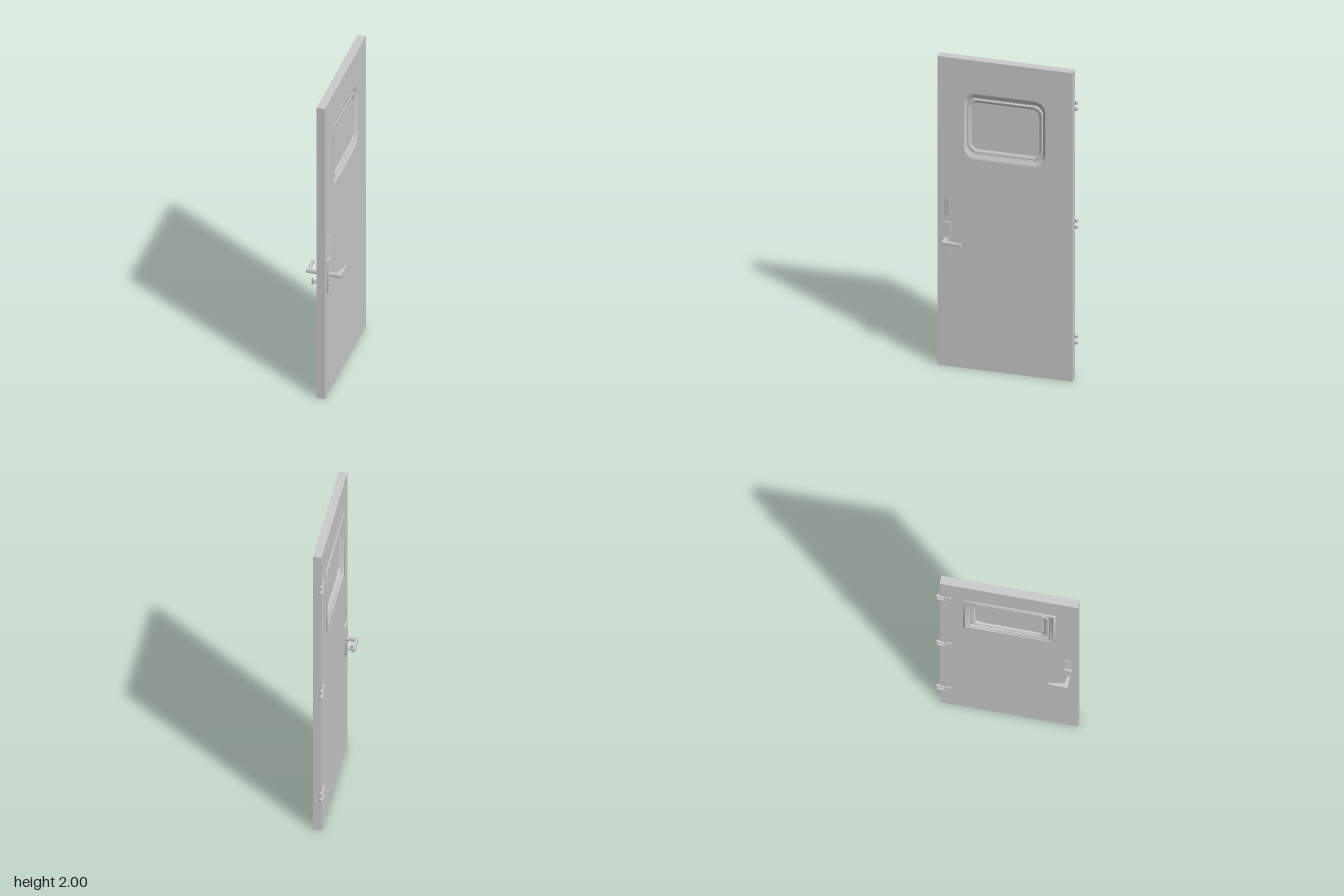
import * as THREE from 'three';
import { toCreasedNormals } from 'three/addons/utils/BufferGeometryUtils.js';

const XB = -0.027, XF = 0.024;            // the two faces of the door leaf
const Z0 = -0.397, Z1 = 0.417;
const WIN_Y = 1.573, WIN_Z = 0.013;       // window centre
const LOCK_Z = 0.358;

const mat = new THREE.MeshStandardMaterial({ color: 0xcccccc, side: THREE.DoubleSide });

function add(parent, name, geometry, x = 0, y = 0, z = 0) {
  const m = new THREE.Mesh(geometry, mat);
  m.name = name;
  m.position.set(x, y, z);
  parent.add(m);
  return m;
}

const box = (p, name, x0, x1, y0, y1, z0, z1) =>
  add(p, name, new THREE.BoxGeometry(x1 - x0, y1 - y0, z1 - z0), (x0 + x1) / 2, (y0 + y1) / 2, (z0 + z1) / 2);

// Rounded rectangle, counter-clockwise, in the plane u = -z, v = y
function loop(w, h, r, cu = 0, cv = 0, n = 8) {
  const pts = [];
  [[1, 1], [-1, 1], [-1, -1], [1, -1]].forEach(([sx, sy], k) => {
    for (let i = 0; i <= n; i++) {
      const a = (k + i / n) * Math.PI / 2;
      pts.push(new THREE.Vector2(cu + sx * (w / 2 - r) + r * Math.cos(a), cv + sy * (h / 2 - r) + r * Math.sin(a)));
    }
  });
  return pts;
}

// Flat panel cut from the u-v plane between two x positions
function panel(parent, name, pts, x0, x1, hole) {
  const shape = new THREE.Shape(pts);
  if (hole) shape.holes.push(new THREE.Path(hole));
  const g = new THREE.ExtrudeGeometry(shape, { depth: x1 - x0, bevelEnabled: false });
  g.rotateY(Math.PI / 2);
  return add(parent, name, toCreasedNormals(g, 0.6), x0);
}

// Surface through rounded rectangles [w, h, r, x], listed from outside to inside
function ringLoft(rings, flip) {
  const pos = [], idx = [];
  const loops = rings.map(([w, h, r]) => loop(w, h, r));
  const n = loops[0].length;
  loops.forEach((l, k) => l.forEach(p => pos.push(rings[k][3], p.y, -p.x)));
  for (let k = 0; k < rings.length - 1; k++) {
    for (let i = 0; i < n; i++) {
      const a = k * n + i, b = k * n + (i + 1) % n, c = b + n, d = a + n;
      if (flip) idx.push(a, c, b, a, d, c);
      else idx.push(a, b, c, a, c, d);
    }
  }
  const g = new THREE.BufferGeometry();
  g.setAttribute('position', new THREE.Float32BufferAttribute(pos, 3));
  g.setIndex(idx);
  return toCreasedNormals(g, 0.6);
}

// Handle set on one side: s = 1 for the +x face, -1 for the -x face
function handleSet(s) {
  const g = new THREE.Group();
  g.name = s > 0 ? 'leftHandleSet' : 'rightHandleSet';
  const face = s > 0 ? XF : -XB;
  const span = (a, b) => [Math.min(s * a, s * b), Math.max(s * a, s * b)];

  // backplate with a raised centre
  const [p0, p1] = span(face, face + 0.008);
  panel(g, 'backplate', loop(0.05, 0.23, 0.006, -LOCK_Z, 0.825, 3), p0, p1);
  const [q0, q1] = span(face + 0.008, face + 0.012);
  panel(g, 'backplateCentre', loop(0.036, 0.216, 0.005, -LOCK_Z, 0.825, 3), q0, q1);

  // rosette
  const ros = new THREE.CylinderGeometry(0.014, 0.014, 0.012, 24).rotateZ(Math.PI / 2);
  add(g, 'rosette', ros, s * (face + 0.014), 0.83, LOCK_Z);

  // lever: bent outline extruded upwards, with a turned-in tip
  const outline = [[0.03, 0.37], [0.105, 0.37], [0.105, 0.258], [0.102, 0.255], [0.088, 0.255],
    [0.086, 0.262], [0.094, 0.266], [0.08, 0.343], [0.074, 0.349], [0.03, 0.349]];
  const pts = outline.map(([x, z]) => new THREE.Vector2(s * x, -z));
  const lever = new THREE.ExtrudeGeometry(new THREE.Shape(pts),
    { depth: 0.014, bevelEnabled: true, bevelSize: 0.001, bevelThickness: 0.003, bevelOffset: -0.001, bevelSegments: 2 });
  lever.rotateX(-Math.PI / 2);
  add(g, 'lever', toCreasedNormals(lever, 0.5), 0, 0.823, 0);

  // sloping indicator plate above the lock
  const wedge = new THREE.Shape([[face - 0.002, 0.345], [face + 0.006, 0.345], [face + 0.005, 0.35], [face, 0.378], [face - 0.002, 0.378]]
    .map(([x, z]) => new THREE.Vector2(s * x, -z)));
  const wg = new THREE.ExtrudeGeometry(wedge, { depth: 0.11, bevelEnabled: false }).rotateX(-Math.PI / 2);
  add(g, 'indicatorPlate', wg, 0, 0.98, 0);

  // lock cylinder, with a thumb turn on one side
  const cyl = new THREE.CylinderGeometry(0.01, 0.01, 0.01, 20).rotateZ(Math.PI / 2);
  add(g, 'lockCylinder', cyl, s * (face + 0.01), 0.762, LOCK_Z);
  if (s < 0) {
    const stem = new THREE.CylinderGeometry(0.007, 0.009, 0.03, 16).rotateZ(Math.PI / 2);
    add(g, 'thumbTurnStem', stem, -0.05, 0.762, LOCK_Z);
    const knob = new THREE.Shape([[-0.056, -0.008], [-0.068, -0.024], [-0.075, -0.024], [-0.075, 0.024], [-0.068, 0.024], [-0.056, 0.008]]
      .map(([x, y]) => new THREE.Vector2(x, y)));
    add(g, 'thumbTurn', new THREE.ExtrudeGeometry(knob, { depth: 0.01, bevelEnabled: false }), 0, 0.76, LOCK_Z - 0.005);
  }
  return g;
}

// Hinge: leaf on the -x face, two arms and two knuckles past the edge
function hinge(y) {
  const g = new THREE.Group();
  g.name = 'hinge';
  panel(g, 'hingeLeaf', loop(0.042, 0.07, 0.008, 0.35, y, 4), XB - 0.006, XB);
  for (const d of [-0.02, 0.02]) {
    box(g, 'hingeArm', XB - 0.009, XB, y + d - 0.008, y + d + 0.008, -0.408, -0.355);
    add(g, 'hingeKnuckle', new THREE.CylinderGeometry(0.01, 0.01, 0.016, 20), XB, y + d, -0.407);
    const screw = new THREE.CylinderGeometry(0.005, 0.005, 0.004, 12).rotateZ(Math.PI / 2);
    add(g, 'hingeScrew', screw, XB - 0.008, y + d, -0.342);
  }
  return g;
}

export function createModel() {
  const root = new THREE.Group();
  root.name = 'door';

  // door leaf with window opening
  const leaf = [[-Z1, 0], [-Z0, 0], [-Z0, 2], [-Z1, 2]].map(p => new THREE.Vector2(...p));
  panel(root, 'doorLeaf', leaf, XB, XF, loop(0.49, 0.43, 0.07, -WIN_Z, WIN_Y));

  // soft dished surround and seal on the +x face
  const dish = [];
  for (let i = 0; i <= 8; i++) {
    const t = i / 8, e = t * t * (3 - 2 * t);
    dish.push([0.49 - 0.03 * t, 0.43 - 0.075 * t, 0.07 - 0.014 * t, XF - 0.012 * e]);
  }
  dish.push([0.455, 0.35, 0.054, 0.008], [0.453, 0.348, 0.053, 0.015], [0.446, 0.341, 0.051, 0.017],
    [0.42, 0.315, 0.045, 0.015], [0.41, 0.305, 0.042, 0.011], [0.408, 0.303, 0.042, 0.004]);
  add(root, 'windowSurround', ringLoft(dish, false), 0, WIN_Y, WIN_Z);

  // square moulded frame and seal on the -x face
  const frame = [[0.545, 0.45, 0.002, XB], [0.545, 0.45, 0.002, -0.032], [0.54, 0.445, 0.002, -0.034],
    [0.515, 0.42, 0.002, -0.034], [0.505, 0.41, 0.002, -0.029], [0.475, 0.38, 0.002, -0.023],
    [0.47, 0.375, 0.002, -0.018], [0.455, 0.35, 0.054, -0.018], [0.453, 0.348, 0.053, -0.023],
    [0.442, 0.337, 0.05, -0.024], [0.42, 0.315, 0.045, -0.02], [0.41, 0.305, 0.042, -0.016],
    [0.408, 0.303, 0.042, -0.006]];
  add(root, 'windowFrame', ringLoft(frame, true), 0, WIN_Y, WIN_Z);

  panel(root, 'windowPane', loop(0.42, 0.315, 0.045, -WIN_Z, WIN_Y), -0.009, 0.007);

  // handle sets on both faces
  root.add(handleSet(1), handleSet(-1));

  // latch and bolts in the lock edge
  for (const [y0, y1] of [[0.985, 1.03], [0.86, 0.91], [0.74, 0.78]])
    box(root, 'lockBolt', -0.012, 0.003, y0, y1, Z1 - 0.01, Z1 + 0.001);

  for (const y of [0.25, 1.0, 1.765]) root.add(hinge(y));
  return root;
}
